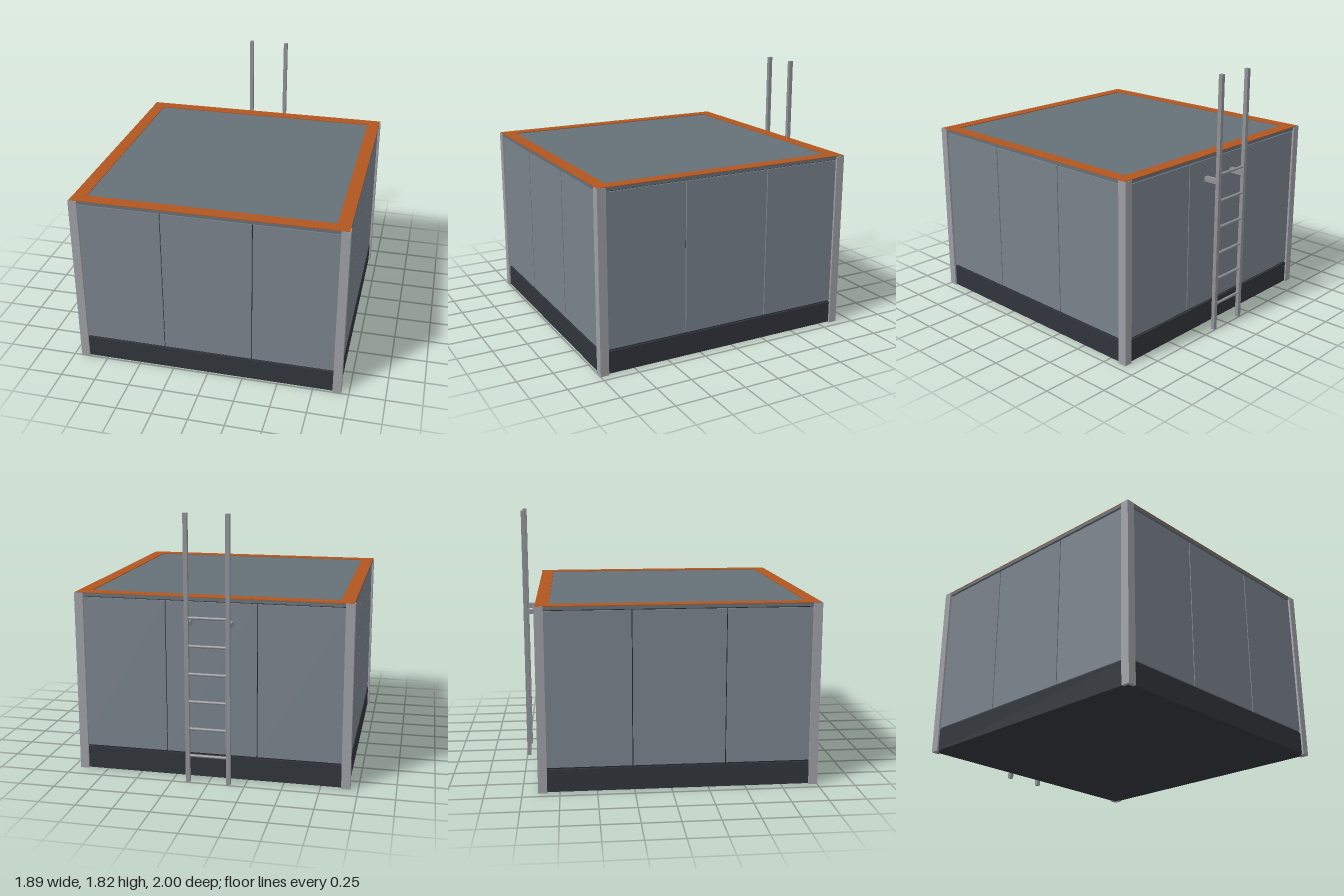
import * as THREE from 'three';

const H = 1.26;          // body height
const R = 0.947;         // half width over the corner posts
const ZC = 0.0525;       // body centre in z (the ladder takes up the back)

const mat = (color) => new THREE.MeshStandardMaterial({ color });
const M = {
  panel: mat(0x78818a), roof: mat(0x667078), base: mat(0x30343a), gap: mat(0x24272b),
  post: mat(0x9c9ea4), trim: mat(0xb0561f), ladder: mat(0x8f9196),
};

function box(parent, name, material, w, h, d, x, y, z) {
  const mesh = new THREE.Mesh(new THREE.BoxGeometry(w, h, d), material);
  mesh.name = name;
  mesh.position.set(x, y, z);
  parent.add(mesh);
  return mesh;
}

// Upright extrusion of a plan outline
function upright(parent, name, material, shape, y, h) {
  const geo = new THREE.ExtrudeGeometry(shape, { depth: h, bevelEnabled: false });
  geo.rotateX(-Math.PI / 2);
  const mesh = new THREE.Mesh(geo, material);
  mesh.name = name;
  mesh.position.y = y;
  parent.add(mesh);
  return mesh;
}

function square(PathType, r) {
  return new PathType([[-r, -r], [r, -r], [r, r], [-r, r]].map(([x, y]) => new THREE.Vector2(x, y)));
}

export function createModel() {
  const model = new THREE.Group();
  const body = new THREE.Group();
  body.name = 'body';
  body.position.z = ZC;
  model.add(body);

  // Dark core seen in the seams, plinth and roof slab
  box(body, 'core', M.gap, 1.84, 1.22, 1.84, 0, 0.62, 0);
  box(body, 'plinth', M.base, 1.87, 0.155, 1.87, 0, 0.0815, 0);
  box(body, 'roof', M.roof, 1.88, 0.022, 1.88, 0, 1.245, 0);

  // Coloured border around the roof
  const border = square(THREE.Shape, 0.941);
  border.holes.push(square(THREE.Path, 0.85));
  upright(body, 'roofBorder', M.trim, border, 1.256, 0.005);

  // Four walls of three panels, four L-section corner posts
  const L = [[0, 0], [-0.06, 0], [-0.06, -0.022], [-0.022, -0.022], [-0.022, -0.06], [0, -0.06]];
  const corner = new THREE.Shape(L.map(([x, y]) => new THREE.Vector2(R + x, R + y)));
  for (let i = 0; i < 4; i++) {
    const side = new THREE.Group();
    side.name = ['front', 'left', 'back', 'right'][i] + 'Wall';
    side.rotation.y = i * Math.PI / 2;
    body.add(side);
    for (let k = -1; k <= 1; k++) {
      const w = k ? 0.6 : 0.62;
      box(side, 'wallPanel', M.panel, w, 1.055, 0.03, k * 0.617, 0.6985, 0.917);
    }
    upright(side, 'cornerPost', M.post, corner, 0, H - 0.002);
  }

  // Ladder on the back
  const ladder = new THREE.Group();
  ladder.name = 'ladder';
  model.add(ladder);
  for (const s of [-1, 1]) {
    box(ladder, 'ladderRail', M.ladder, 0.028, 1.82, 0.028, s * 0.139, 0.912, -0.986);
    box(ladder, 'ladderBracket', M.ladder, 0.03, 0.034, 0.115, s * 0.139, 1.092, -0.93);
  }
  for (let i = 1; i <= 6; i++) {
    const rung = new THREE.Mesh(new THREE.CylinderGeometry(0.01, 0.01, 0.27, 12), M.ladder);
    rung.name = 'ladderRung';
    rung.rotation.z = Math.PI / 2;
    rung.position.set(0, i * 0.19, -0.986);
    ladder.add(rung);
  }
  return model;
}
